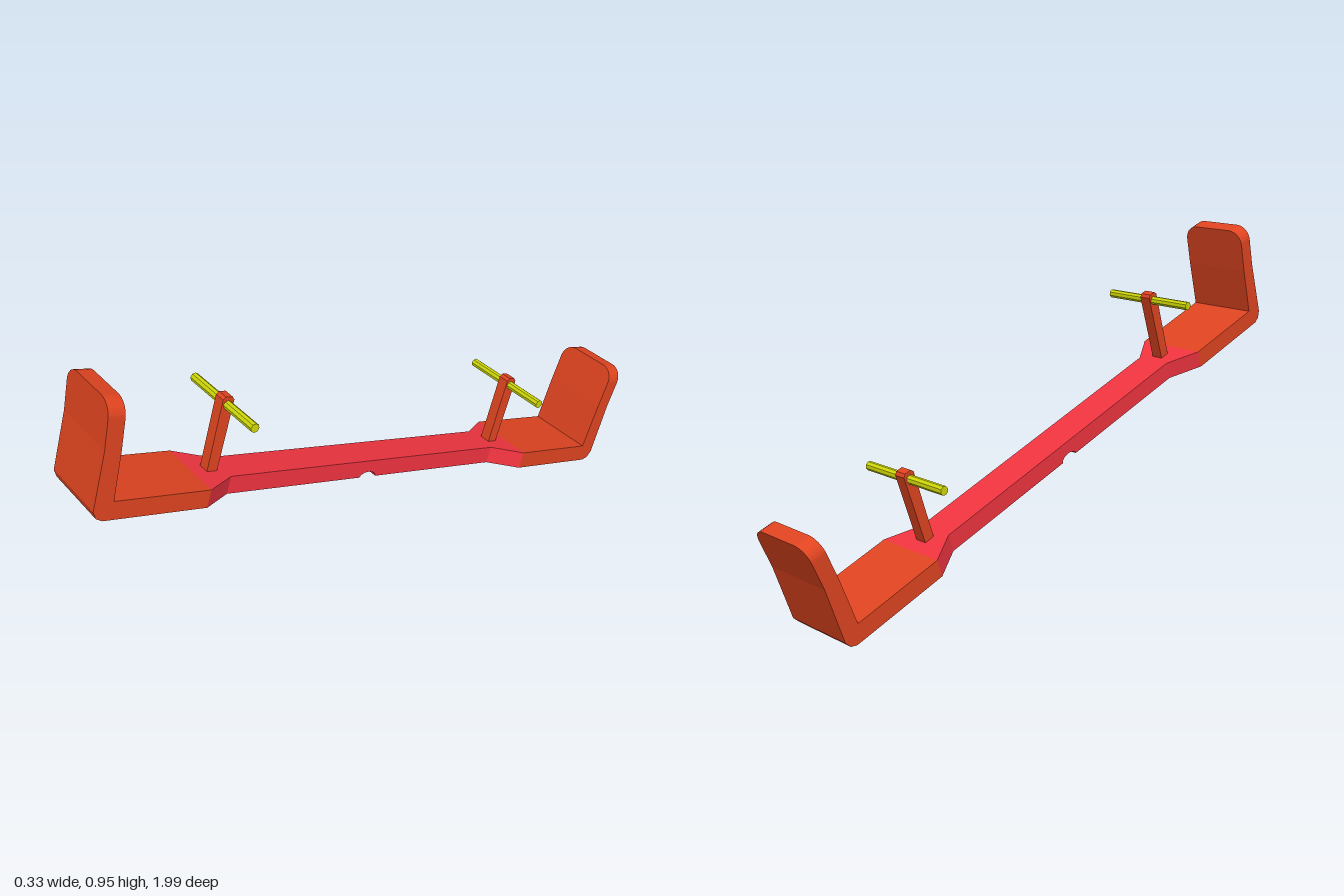
import * as THREE from 'three';

const material = (color) => new THREE.MeshStandardMaterial({ color, flatShading: true });
const BOTTOM = -0.027, TOP = 0.03;

// Side profile of [z, y] points, extruded across x and centred
function sideExtrude(points, width) {
  const shape = new THREE.Shape(points.map(([z, y]) => new THREE.Vector2(z, y)));
  return new THREE.ExtrudeGeometry(shape, { depth: width, bevelEnabled: false })
    .translate(0, 0, -width / 2)
    .rotateY(-Math.PI / 2);
}

// Plan outline of [x, z] points, as thick as the beam
function planExtrude(points) {
  const shape = new THREE.Shape(points.map(([x, z]) => new THREE.Vector2(x, z)));
  return new THREE.ExtrudeGeometry(shape, { depth: TOP - BOTTOM, bevelEnabled: false })
    .rotateX(Math.PI / 2)
    .translate(0, TOP, 0);
}

// Upper half of the backrest: rounded top corners, leaning outwards
function backrestTop(halfWidth, height, radius) {
  const shape = new THREE.Shape();
  shape.moveTo(-halfWidth, 0);
  shape.lineTo(halfWidth, 0);
  shape.lineTo(halfWidth, height - radius);
  shape.absarc(halfWidth - radius, height - radius, radius, 0, Math.PI / 2, false);
  shape.absarc(radius - halfWidth, height - radius, radius, Math.PI / 2, Math.PI, false);
  shape.closePath();
  const lean = new THREE.Matrix4().makeShear(0, 0, 0, 0.09, 0, 0);
  lean.set(1, 0, 0, 0, 0, 1, 0, 0, 0, 0.09, 1, 0, 0, 0, 0, 1);
  return new THREE.ExtrudeGeometry(shape, { depth: 0.05, bevelEnabled: false, curveSegments: 4 })
    .applyMatrix4(lean)
    .translate(0, 0.185, 0.942);
}

export function createModel() {
  const model = new THREE.Group();
  model.name = 'seesaw';
  const board = new THREE.Group();
  board.name = 'tiltedBoard';
  board.position.set(-0.001, 0.328, 0.055);
  board.rotation.set(-Math.asin(0.315), -0.004, 0, 'YXZ');
  model.add(board);

  const red = material(0xf03440);
  const orange = material(0xe04420);
  const yellow = material(0xd0d808);
  const add = (parent, name, geometry, mat) => {
    const mesh = new THREE.Mesh(geometry, mat);
    mesh.name = name;
    parent.add(mesh);
    return mesh;
  };

  // Beam with a shallow pivot notch underneath
  const notch = [];
  for (let i = 0; i <= 6; i++) {
    const a = Math.PI - (i / 6) * Math.PI;
    notch.push([0.032 * Math.cos(a), BOTTOM + 0.018 * Math.sin(a)]);
  }
  add(board, 'beam', sideExtrude(
    [[-0.527, BOTTOM], ...notch, [0.527, BOTTOM], [0.527, TOP], [-0.527, TOP]], 0.116), red);

  // Both ends are alike, turned half way round
  for (const [name, turn] of [['frontEnd', 0], ['backEnd', Math.PI]]) {
    const end = new THREE.Group();
    end.name = name;
    end.rotation.y = turn;
    board.add(end);

    // Flare from the beam to the seat
    add(end, 'flare', planExtrude(
      [[-0.058, 0.527], [0.058, 0.527], [0.116, 0.63], [-0.116, 0.63]]), red);

    // Seat and lower backrest in one bent piece
    add(end, 'seat', sideExtrude([
      [0.63, BOTTOM], [0.958, BOTTOM], [0.978, -0.018], [0.99, 0.004],
      [0.992, 0.185], [0.942, 0.185], [0.934, TOP], [0.63, TOP]], 0.232), orange);
    add(end, 'backrestTop', backrestTop(0.116, 0.139, 0.048), orange);

    // Handle post with chamfered top, and grip bar
    add(end, 'handlePost', sideExtrude([
      [0.551, 0.02], [0.585, 0.02], [0.587, 0.257], [0.579, 0.266],
      [0.557, 0.266], [0.549, 0.257]], 0.038), orange);
    const bar = add(end, 'handleBar',
      new THREE.CylinderGeometry(0.014, 0.014, 0.322, 8).rotateZ(Math.PI / 2), yellow);
    bar.position.set(0, 0.241, 0.568);
  }
  return model;
}
